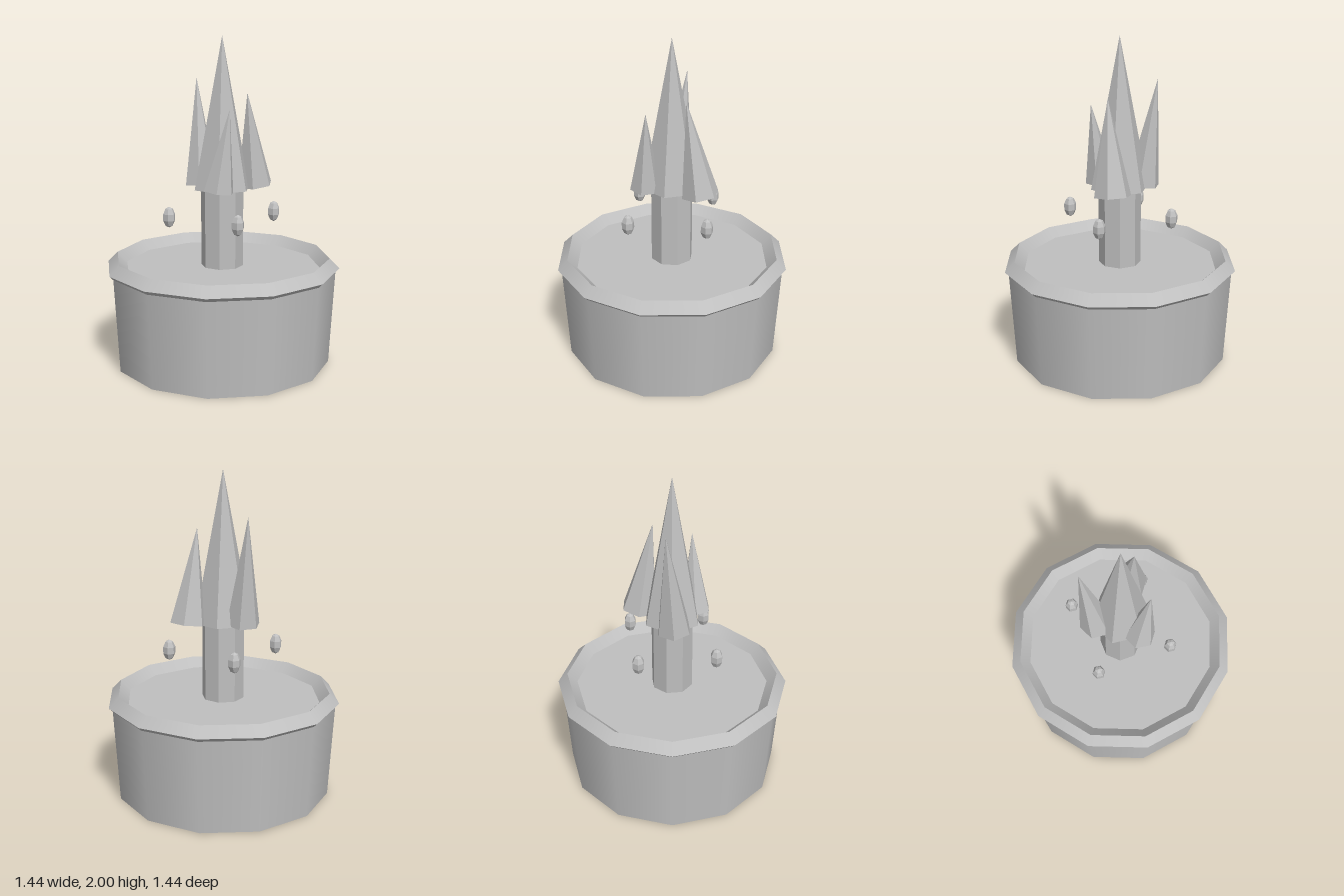
import * as THREE from 'three';

const stone = new THREE.MeshStandardMaterial({ color: 0xbfbfbf });
stone.name = 'grey stone';

function add(parent, name, geometry, x = 0, y = 0, z = 0) {
  const mesh = new THREE.Mesh(geometry, stone);
  mesh.name = name;
  mesh.position.set(x, y, z);
  parent.add(mesh);
  return mesh;
}

// Give every face its own normal
function faceted(geometry) {
  const flat = geometry.toNonIndexed();
  flat.computeVertexNormals();
  return flat;
}

// Six-sided spike from a base centre to a tip, its base square to the axis
function addSpike(parent, name, base, tip, radius) {
  const from = new THREE.Vector3(...base);
  const axis = new THREE.Vector3(...tip).sub(from);
  const length = axis.length();
  const geometry = faceted(new THREE.ConeGeometry(radius, length, 6).translate(0, length / 2, 0));
  const mesh = add(parent, name, geometry, ...base);
  mesh.quaternion.setFromUnitVectors(new THREE.Vector3(0, 1, 0), axis.normalize());
}

export function createModel() {
  const model = new THREE.Group();
  model.name = 'crystal fountain';

  // Twelve-sided basin, filled to the middle of the rim
  add(model, 'basin', new THREE.CylinderGeometry(0.7, 0.667, 0.6, 12), 0, 0.3, 0);

  // Diamond-section rim: four bands, smooth around and sharp between
  const rim = new THREE.Group();
  rim.name = 'rim';
  model.add(rim);
  const section = [[0.662, 0.54], [0.722, 0.6], [0.662, 0.66], [0.602, 0.6]];
  section.forEach((p, i) => {
    const q = section[(i + 1) % 4];
    const points = [new THREE.Vector2(...p), new THREE.Vector2(...q)];
    add(rim, 'rimBand', new THREE.LatheGeometry(points, 12));
  });

  // Central column
  add(model, 'column', faceted(new THREE.CylinderGeometry(0.13, 0.13, 0.5, 8)), 0, 0.84, 0);

  // Crystal cluster
  const crystals = new THREE.Group();
  crystals.name = 'crystals';
  model.add(crystals);
  addSpike(crystals, 'mainCrystal', [0, 1.08, 0], [0, 2, 0], 0.18);
  addSpike(crystals, 'rightCrystal', [-0.135, 1.09, -0.065], [-0.177, 1.745, -0.144], 0.105);
  addSpike(crystals, 'leftCrystal', [0.187, 1.09, -0.123], [0.147, 1.66, -0.045], 0.113);
  addSpike(crystals, 'frontCrystal', [0, 1.09, 0.165], [0.067, 1.58, 0.176], 0.095);

  // Four droplets floating around the column
  const dropGeometry = faceted(
    new THREE.SphereGeometry(0.04, 6, 5).rotateY(Math.PI / 6).scale(1, 1.6, 1));
  for (let i = 0; i < 4; i++) {
    const angle = Math.atan2(0.13, 0.307) + i * Math.PI / 2;
    add(model, 'droplet', dropGeometry, 0.333 * Math.cos(angle), 0.92, -0.333 * Math.sin(angle));
  }

  return model;
}
